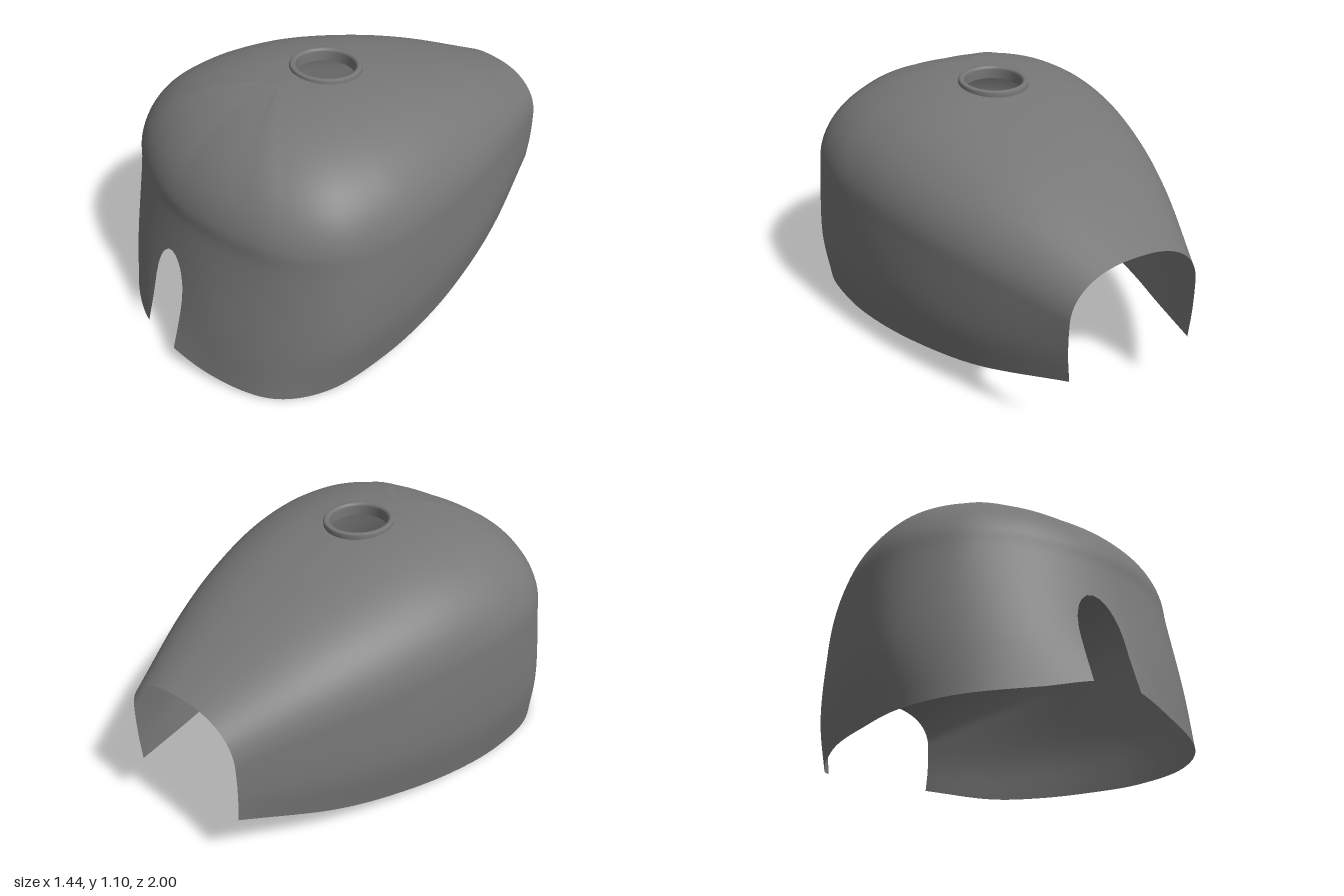
import * as THREE from 'three';
import { mergeVertices } from 'three/addons/utils/BufferGeometryUtils.js';

const paint = new THREE.MeshStandardMaterial({ color: 0x777777, side: THREE.DoubleSide });
paint.name = 'grey paint';

// Outlines running from the open back, along the left side, to the nose (x, y, z).
const bottomEdge = [
  [0.285, 0.28, -1], [0.46, 0.155, -0.6], [0.565, 0.1, -0.3], [0.64, 0.06, 0], [0.67, 0.022, 0.3],
  [0.65, 0.003, 0.6], [0.54, 0.005, 0.8], [0.3, 0.035, 0.94], [0, 0.09, 1.01]];
const lowWaist = [
  [0.295, 0.4, -1], [0.49, 0.34, -0.6], [0.605, 0.32, -0.3], [0.68, 0.3, 0], [0.716, 0.28, 0.3],
  [0.685, 0.27, 0.57], [0.545, 0.27, 0.765], [0.3, 0.28, 0.9], [0, 0.28, 0.945]];
const highWaist = [
  [0.295, 0.52, -1], [0.485, 0.57, -0.6], [0.598, 0.6, -0.3], [0.677, 0.62, 0], [0.713, 0.62, 0.28],
  [0.67, 0.63, 0.54], [0.53, 0.64, 0.71], [0.29, 0.66, 0.82], [0, 0.66, 0.86]];
const spine = [
  [0, 0.74, -1], [0, 0.91, -0.6], [0, 1.005, -0.3], [0, 1.07, 0], [0, 1.086, 0.2],
  [0, 1.087, 0.27], [0, 1.087, 0.3], [0, 1.087, 0.3], [0, 1.087, 0.3]];

// Smooth curve through an outline and its mirror image.
function mirroredCurve(points) {
  const left = points.map((p) => new THREE.Vector3(...p));
  const right = left.slice(0, -1).reverse().map((p) => new THREE.Vector3(-p.x, p.y, p.z));
  return new THREE.CatmullRomCurve3([...left, ...right]);
}

// Signed test: negative inside the nose slot and the filler hole.
function cutTest(p) {
  if (p.z > 0.5 && p.y < 0.65) {
    return Math.hypot(p.x / 0.105, (Math.max(p.y, 0.3) - 0.3) / 0.2) - 1;
  }
  if (p.y > 0.95) return Math.hypot(p.x, p.z - 0.075) / 0.14 - 1;
  return 1;
}

// Keeps the part of a triangle outside the cut-outs.
function addClipped(out, tri) {
  const kept = [];
  tri.forEach((a, i) => {
    const b = tri[(i + 1) % 3];
    const ga = cutTest(a), gb = cutTest(b);
    if (ga >= 0) kept.push(a);
    if ((ga >= 0) !== (gb >= 0)) kept.push(a.clone().lerp(b, ga / (ga - gb)));
  });
  for (let i = 1; i + 1 < kept.length; i++) {
    for (const p of [kept[0], kept[i], kept[i + 1]]) out.push(p.x, p.y, p.z);
  }
}

function shellGeometry() {
  const curves = [bottomEdge, lowWaist, highWaist, spine].map(mirroredCurve);
  const across = 160, up = 72;
  // Each rib rises from the bottom edge and rounds over to the spine.
  const ribs = [];
  for (let i = 0; i <= across; i++) {
    const t = i / across;
    const [b, low, high, top] = curves.map((c) => c.getPoint(t));
    const power = 2 / THREE.MathUtils.lerp(2, 2.35, Math.min(1, Math.abs(t - 0.5) * 4));
    const points = [b, low, high];
    for (let k = 1; k < 8; k++) {
      const angle = (k / 8) * Math.PI / 2;
      const inward = Math.cos(angle) ** power, rise = Math.sin(angle) ** power;
      points.push(new THREE.Vector3(
        high.x * inward,
        THREE.MathUtils.lerp(high.y, top.y, rise),
        THREE.MathUtils.lerp(top.z, high.z, inward)));
    }
    points.push(top);
    ribs.push(new THREE.CatmullRomCurve3(points).getPoints(up));
  }
  const positions = [];
  for (let i = 0; i < across; i++) {
    for (let j = 0; j < up; j++) {
      const a = ribs[i][j], b = ribs[i][j + 1], c = ribs[i + 1][j + 1], d = ribs[i + 1][j];
      addClipped(positions, [a, b, d]);
      addClipped(positions, [b, c, d]);
    }
  }
  const geometry = new THREE.BufferGeometry();
  geometry.setAttribute('position', new THREE.Float32BufferAttribute(positions, 3));
  const merged = mergeVertices(geometry, 1e-4);
  merged.computeVertexNormals();
  return merged;
}

export function createModel() {
  const group = new THREE.Group();
  group.name = 'fuelTankShell';

  const shell = new THREE.Mesh(shellGeometry(), paint);
  shell.name = 'tankShell';
  group.add(shell);

  // Filler neck with a rounded lip, tilted with the top of the tank
  const neckProfile = [
    [0.155, -0.015], [0.155, 0.004], [0.15, 0.01], [0.138, 0.011], [0.13, 0.007], [0.127, -0.002], [0.127, -0.045],
  ].map(([r, y]) => new THREE.Vector2(r, y));
  const neck = new THREE.Mesh(new THREE.LatheGeometry(neckProfile.reverse(), 64), paint);
  neck.geometry.scale(1, 1, 1);
  neck.name = 'fillerNeck';
  neck.position.set(0, 1.081, 0.075);
  neck.rotation.x = -0.06;
  group.add(neck);

  return group;
}
